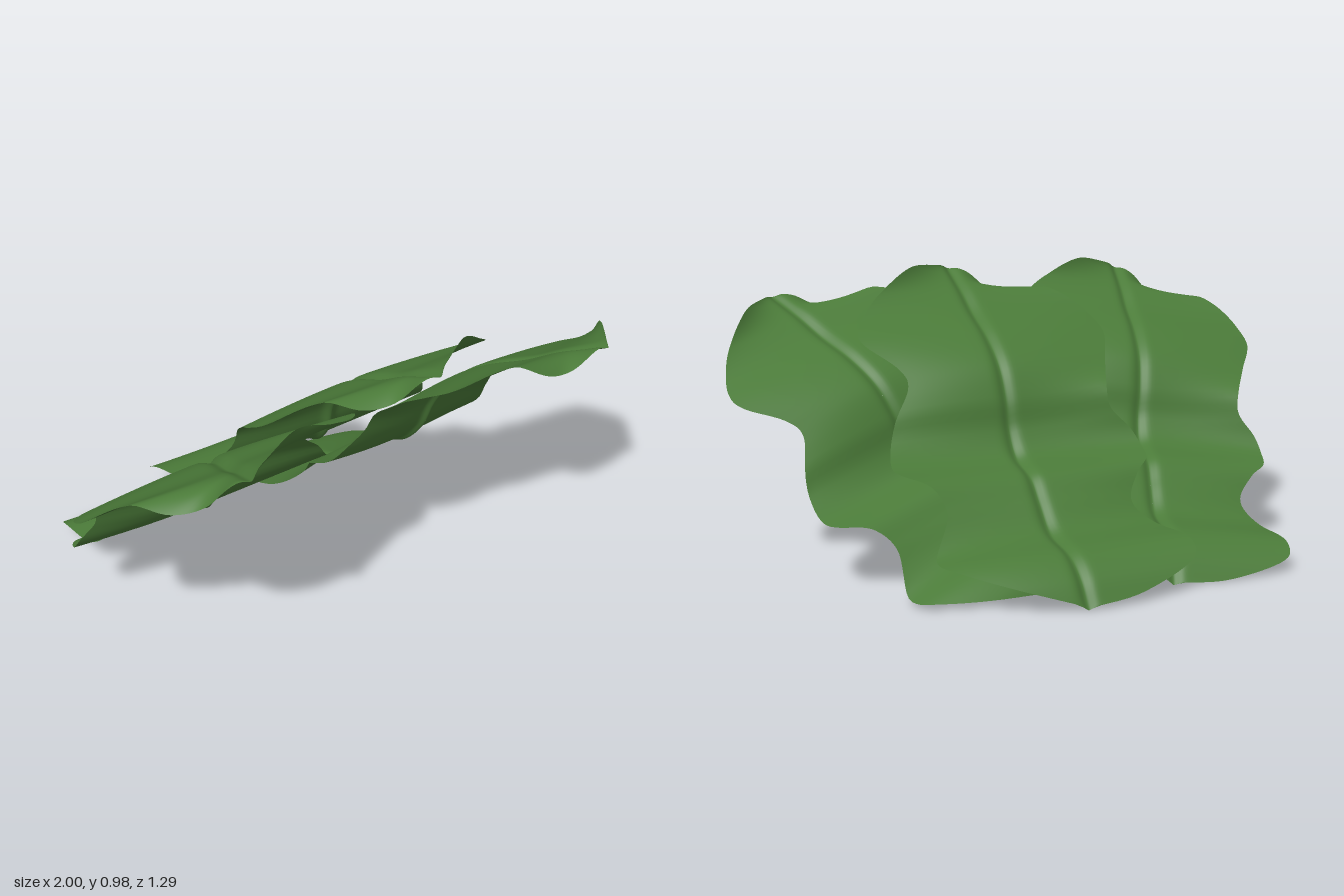
import * as THREE from 'three';

const leafGreen = new THREE.MeshStandardMaterial({ color: 0x4b7b39, side: THREE.DoubleSide });
leafGreen.name = 'leafGreen';

// Leaf template: z runs along the midrib, x across it, y is the height of the blade
const LENGTH = 1.536;
const ribWave = [[0, 0], [0.093, 0.028], [0.192, 0.022], [0.327, -0.042], [0.449, -0.032], [0.547, -0.022],
  [0.668, -0.062], [0.767, -0.035], [0.844, 0.025], [0.961, 0.075], [1.105, 0.077], [1.26, 0.047],
  [1.383, 0.034], [LENGTH, 0.007]];

// Lobed edges as [across, along] and the curl of each edge as [along, height]
const halves = {
  plusSide: {
    side: 1,
    edge: [[0.215, 0.087], [0.365, 0.18], [0.415, 0.26], [0.335, 0.42], [0.355, 0.52], [0.435, 0.6],
      [0.45, 0.667], [0.405, 0.81], [0.335, 0.925], [0.355, 1.0], [0.445, 1.11], [0.445, 1.19],
      [0.375, 1.3], [0.295, 1.38], [0.18, 1.46], [0.095, 1.5]],
    curl: [[0, 0], [0.257, -0.03], [0.352, 0], [0.643, 0.01], [0.87, -0.035], [1.19, -0.015],
      [1.36, 0.015], [1.46, 0.055], [LENGTH, 0]],
  },
  minusSide: {
    side: -1,
    edge: [[-0.185, 0.02], [-0.385, 0.093], [-0.425, 0.17], [-0.385, 0.31], [-0.335, 0.42], [-0.385, 0.515],
      [-0.444, 0.575], [-0.455, 0.65], [-0.435, 0.71], [-0.365, 0.8], [-0.405, 0.955], [-0.46, 1.11],
      [-0.435, 1.23], [-0.355, 1.33], [-0.255, 1.4], [-0.15, 1.44], [-0.075, 1.505]],
    curl: [[0, 0], [0.18, 0.01], [0.417, -0.02], [0.62, 0.015], [0.8, 0.045], [0.95, -0.01],
      [1.16, -0.02], [1.36, 0.01], [1.43, -0.06], [LENGTH, 0]],
  },
};

// Smooth interpolation through [position, value] points
function valueAt(points, s) {
  const n = points.length;
  s = THREE.MathUtils.clamp(s, points[0][0], points[n - 1][0]);
  let i = 0;
  while (i < n - 2 && s > points[i + 1][0]) i++;
  const slope = (k) => {
    const a = points[Math.max(k - 1, 0)], b = points[Math.min(k + 1, n - 1)];
    return (b[1] - a[1]) / (b[0] - a[0]);
  };
  const [s0, y0] = points[i], [s1, y1] = points[i + 1], h = s1 - s0, t = (s - s0) / h;
  return y0 * (1 + 2 * t) * (1 - t) ** 2 + slope(i) * h * t * (1 - t) ** 2
    + y1 * t * t * (3 - 2 * t) + slope(i + 1) * h * t * t * (t - 1);
}

// Half a blade: rows run from the midrib out to the lobed edge
function halfLeaf({ side, edge, curl }) {
  const ROWS = 120, COLS = 22;
  const outline = new THREE.SplineCurve([[0, 0], ...edge, [0, LENGTH]].map((p) => new THREE.Vector2(...p)));
  const positions = [], index = [];
  let ribZ = 0;
  for (let i = 0; i <= ROWS; i++) {
    const e = outline.getPoint(i / ROWS);
    ribZ = THREE.MathUtils.clamp(e.y, ribZ, LENGTH);
    for (let j = 0; j <= COLS; j++) {
      const t = (j / COLS) ** 1.9;
      const x = e.x * t, z = THREE.MathUtils.lerp(ribZ, e.y, t);
      const vein = 0.016 * Math.exp(-((x / 0.022) ** 2));
      positions.push(x, valueAt(ribWave, z) + valueAt(curl, z) * t * t - vein, z);
      if (i < ROWS && j < COLS) {
        const a = i * (COLS + 1) + j, b = a + COLS + 1;
        if (side > 0) index.push(a, b, a + 1, b, b + 1, a + 1);
        else index.push(a, a + 1, b, b, a + 1, b + 1);
      }
    }
  }
  const geometry = new THREE.BufferGeometry();
  geometry.setAttribute('position', new THREE.Float32BufferAttribute(positions, 3));
  geometry.setIndex(index);
  geometry.computeVertexNormals();
  return geometry;
}

// Three copies fan out in one sloping plane, stacked in layers
const placements = [
  { name: 'centreLeaf', position: [0.085, 0.414, -0.505], turn: 0 },
  { name: 'rightLeaf', position: [-0.28, 0.343, -0.415], turn: -0.245 },
  { name: 'leftLeaf', position: [0.09, 0.3, -0.36], turn: 0.431 },
];

export function createModel() {
  const model = new THREE.Group();
  model.name = 'leafCluster';
  const fan = new THREE.Group();
  fan.name = 'leafFan';
  fan.rotation.x = -0.67;
  model.add(fan);

  const blades = Object.entries(halves).map(([name, half]) => ({ name, geometry: halfLeaf(half) }));
  for (const { name, position, turn } of placements) {
    const leaf = new THREE.Group();
    leaf.name = name;
    leaf.position.set(...position);
    leaf.rotation.y = turn;
    for (const blade of blades) {
      const mesh = new THREE.Mesh(blade.geometry, leafGreen);
      mesh.name = blade.name + 'Blade';
      leaf.add(mesh);
    }
    fan.add(leaf);
  }
  return model;
}
